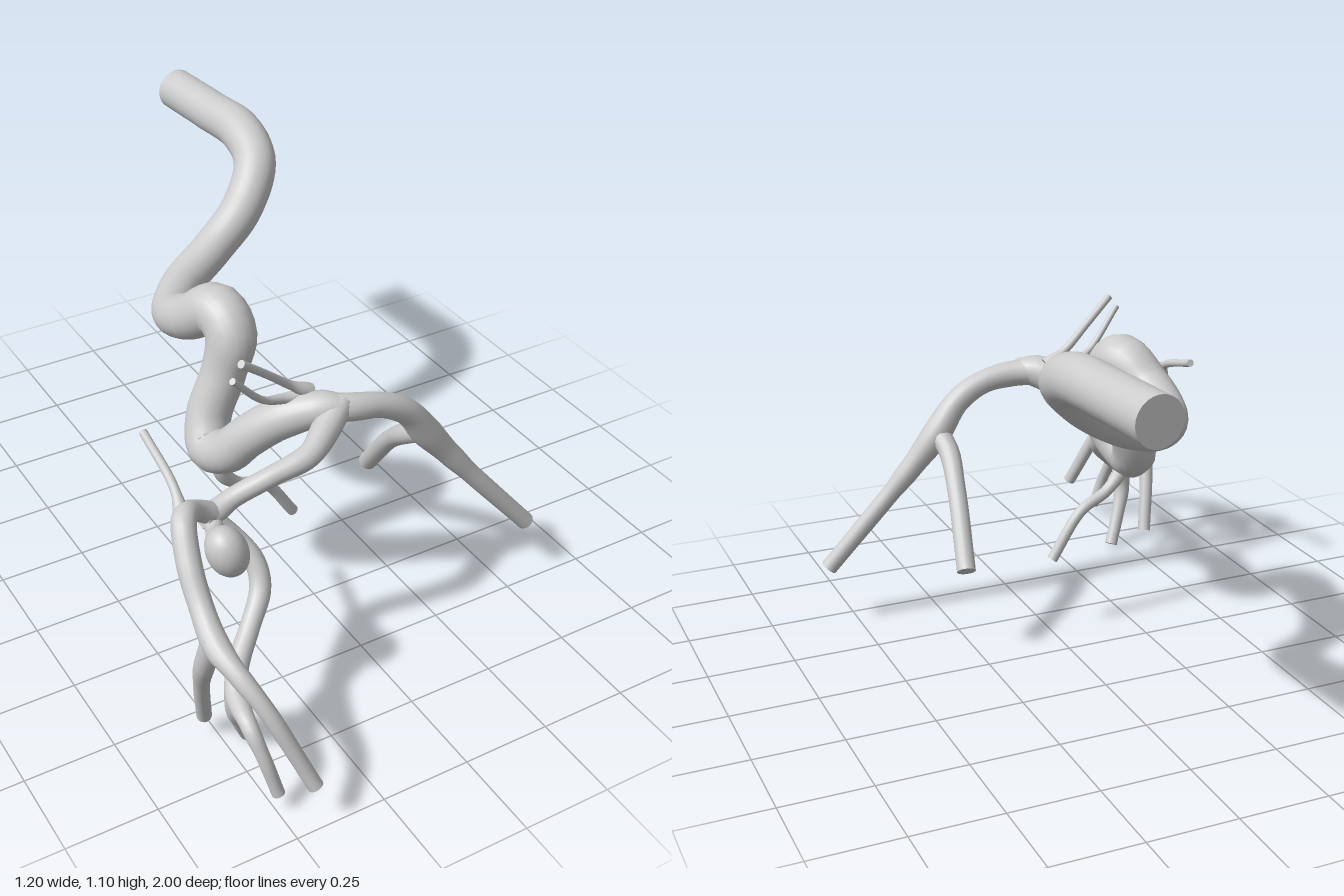
import * as THREE from 'three';

const material = new THREE.MeshStandardMaterial({ color: 0xcccccc });

// Smooth round vessel through [x, y, z, radius] points, with flat cut ends.
function vesselGeometry(points, sides, stepsPerPoint) {
  const curve = new THREE.CatmullRomCurve3(points.map(([x, y, z]) => new THREE.Vector3(x, y, z)));
  const steps = (points.length - 1) * stepsPerPoint;
  const { normals, binormals } = curve.computeFrenetFrames(steps);
  const position = [], index = [];

  const addRing = (i) => {
    const first = position.length / 3;
    const t = curve.getUtoTmapping(i / steps);
    const centre = curve.getPoint(t);
    const f = t * (points.length - 1);
    const k = Math.min(Math.floor(f), points.length - 2);
    const radius = THREE.MathUtils.lerp(points[k][3], points[k + 1][3], THREE.MathUtils.smoothstep(f - k, 0, 1));
    for (let j = 0; j < sides; j++) {
      const a = (j / sides) * Math.PI * 2;
      const p = centre.clone()
        .addScaledVector(normals[i], Math.cos(a) * radius)
        .addScaledVector(binormals[i], Math.sin(a) * radius);
      position.push(p.x, p.y, p.z);
    }
    return { first, centre };
  };

  // wall
  for (let i = 0; i <= steps; i++) {
    const { first } = addRing(i);
    if (i === 0) continue;
    for (let j = 0; j < sides; j++) {
      const next = (j + 1) % sides;
      const a = first - sides + j, b = first - sides + next;
      const c = first + j, d = first + next;
      index.push(a, b, c, b, d, c);
    }
  }
  // end caps, with their own vertices so that the rims stay sharp
  for (const i of [0, steps]) {
    const { first, centre } = addRing(i);
    const middle = position.length / 3;
    position.push(centre.x, centre.y, centre.z);
    for (let j = 0; j < sides; j++) {
      const a = first + j, b = first + (j + 1) % sides;
      if (i === 0) index.push(middle, b, a);
      else index.push(middle, a, b);
    }
  }

  const geometry = new THREE.BufferGeometry();
  geometry.setAttribute('position', new THREE.Float32BufferAttribute(position, 3));
  geometry.setIndex(index);
  geometry.computeVertexNormals();
  return geometry;
}

const vessels = {
  // thick winding trunk, from the back to the fork
  mainTrunk: [
    [0.235, 1.035, -1, 0.062], [0.25, 1.035, -0.8, 0.062], [0.262, 1.03, -0.63, 0.063],
    [0.24, 0.985, -0.51, 0.062], [0.15, 0.895, -0.43, 0.06], [0.03, 0.815, -0.39, 0.058],
    [-0.1, 0.765, -0.33, 0.058], [-0.185, 0.757, -0.22, 0.06], [-0.19, 0.8, -0.11, 0.064],
    [-0.155, 0.86, -0.015, 0.072], [-0.15, 0.82, 0.05, 0.07], [-0.18, 0.71, 0.06, 0.062],
    [-0.23, 0.59, 0.065, 0.062], [-0.25, 0.525, 0.11, 0.064], [-0.235, 0.545, 0.175, 0.06],
    [-0.2, 0.62, 0.235, 0.057], [-0.14, 0.69, 0.295, 0.056], [-0.06, 0.735, 0.365, 0.048],
    [-0.02, 0.735, 0.39, 0.04],
  ],
  leftBranch: [
    [-0.07, 0.735, 0.36, 0.04], [0.01, 0.73, 0.39, 0.038], [0.1, 0.712, 0.4, 0.034],
    [0.18, 0.665, 0.4, 0.036], [0.25, 0.575, 0.395, 0.042], [0.33, 0.475, 0.405, 0.033],
    [0.4, 0.39, 0.42, 0.027], [0.58, 0.18, 0.455, 0.025],
  ],
  leftRearBranch: [
    [0.25, 0.58, 0.4, 0.034], [0.235, 0.54, 0.34, 0.03], [0.25, 0.45, 0.235, 0.027],
    [0.283, 0.265, 0.08, 0.027],
  ],
  rightBranch: [
    [-0.01, 0.745, 0.38, 0.035], [-0.08, 0.71, 0.42, 0.038], [-0.155, 0.685, 0.465, 0.032],
    [-0.26, 0.655, 0.46, 0.027], [-0.36, 0.61, 0.437, 0.027], [-0.42, 0.585, 0.44, 0.032],
    [-0.45, 0.59, 0.445, 0.028],
  ],
  upperThinTwig: [
    [-0.07, 0.765, 0.32, 0.022], [-0.13, 0.805, 0.32, 0.012], [-0.2, 0.865, 0.335, 0.011],
    [-0.29, 0.94, 0.36, 0.011],
  ],
  lowerThinTwig: [
    [-0.07, 0.755, 0.32, 0.022], [-0.15, 0.765, 0.315, 0.014], [-0.21, 0.79, 0.33, 0.01],
    [-0.32, 0.905, 0.37, 0.009],
  ],
  underTwig: [
    [-0.25, 0.53, 0.16, 0.035], [-0.245, 0.47, 0.165, 0.023], [-0.19, 0.41, 0.155, 0.017],
    [-0.1, 0.365, 0.14, 0.016], [-0.005, 0.23, 0.135, 0.016],
  ],
  outerVessel: [
    [-0.41, 0.58, 0.44, 0.03], [-0.47, 0.62, 0.45, 0.028], [-0.52, 0.645, 0.485, 0.032],
    [-0.55, 0.575, 0.56, 0.032], [-0.56, 0.495, 0.64, 0.031], [-0.567, 0.44, 0.73, 0.034],
    [-0.555, 0.41, 0.81, 0.026], [-0.52, 0.34, 0.885, 0.022], [-0.435, 0.125, 0.975, 0.02],
  ],
  outerVesselFork: [
    [-0.565, 0.46, 0.72, 0.032], [-0.578, 0.35, 0.685, 0.027], [-0.565, 0.24, 0.64, 0.021],
    [-0.53, 0.068, 0.58, 0.02],
  ],
  outerThinTwig: [
    [-0.525, 0.63, 0.49, 0.024], [-0.512, 0.685, 0.42, 0.012], [-0.505, 0.74, 0.24, 0.011],
  ],
  innerVessel: [
    [-0.43, 0.575, 0.44, 0.03], [-0.385, 0.525, 0.465, 0.028], [-0.347, 0.465, 0.52, 0.027],
    [-0.352, 0.405, 0.56, 0.028], [-0.41, 0.34, 0.61, 0.026], [-0.475, 0.285, 0.665, 0.028],
    [-0.51, 0.25, 0.72, 0.03], [-0.53, 0.235, 0.82, 0.022], [-0.518, 0.17, 0.865, 0.018],
    [-0.492, 0.055, 0.895, 0.017],
  ],
  innerVesselFork: [
    [-0.5, 0.26, 0.7, 0.03], [-0.502, 0.18, 0.695, 0.025], [-0.475, 0.1, 0.67, 0.021],
    [-0.438, 0.012, 0.64, 0.02],
  ],
  bulgeNeck: [
    [-0.42, 0.57, 0.44, 0.026], [-0.435, 0.565, 0.48, 0.024], [-0.45, 0.568, 0.54, 0.042],
  ],
};

export function createModel() {
  const model = new THREE.Group();
  model.name = 'branchingVessel';

  for (const [name, points] of Object.entries(vessels)) {
    const sides = name === 'mainTrunk' ? 24 : 16;
    const mesh = new THREE.Mesh(vesselGeometry(points, sides, 6), material);
    mesh.name = name;
    model.add(mesh);
  }

  // round bulge at the fork on the right
  const bulge = new THREE.Mesh(new THREE.SphereGeometry(1, 24, 16), material);
  bulge.name = 'bulge';
  bulge.scale.set(0.053, 0.073, 0.058);
  bulge.position.set(-0.448, 0.567, 0.568);
  bulge.rotation.z = 0.3;
  model.add(bulge);

  return model;
}
